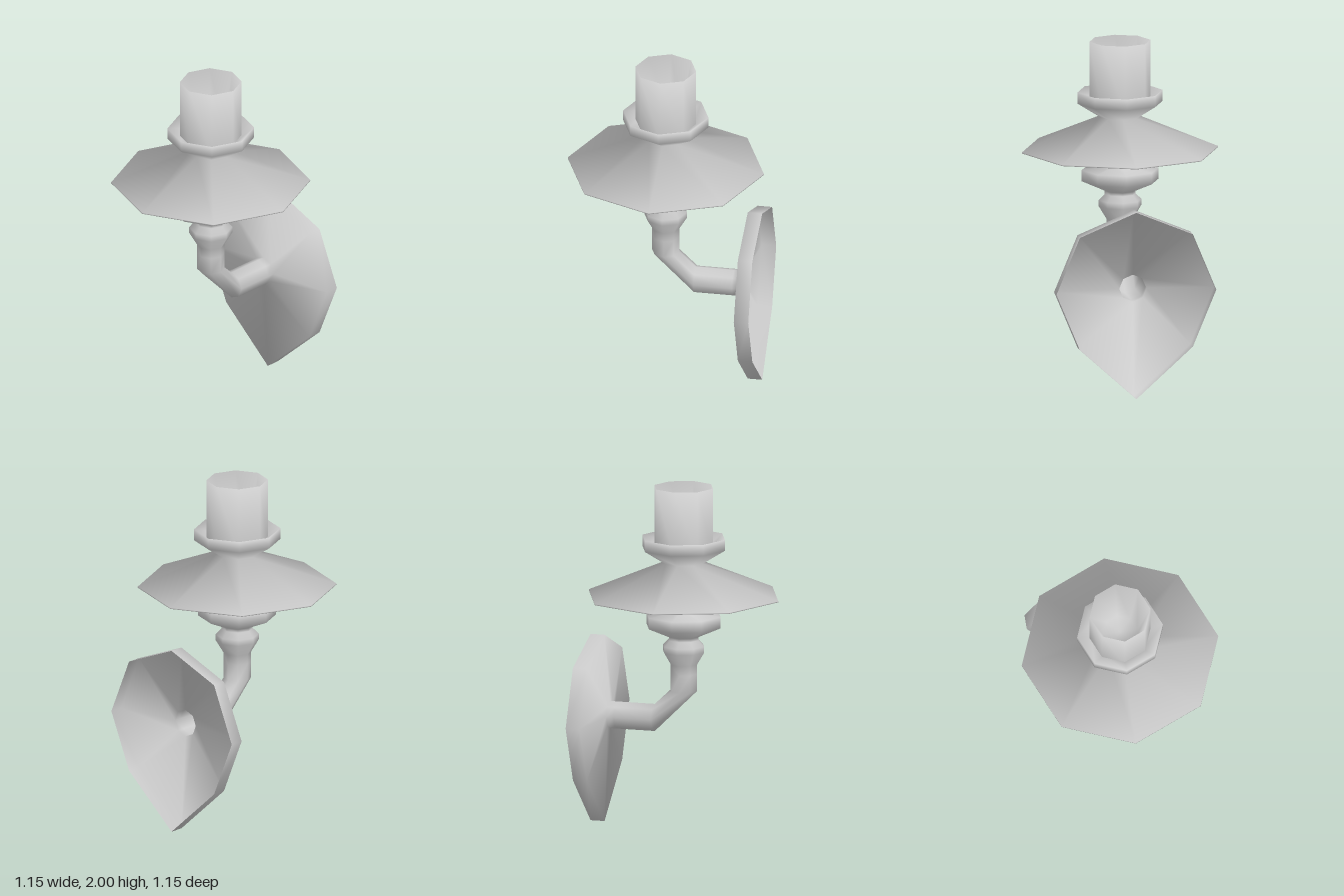
import * as THREE from 'three';

const SIDES = 8;
const material = new THREE.MeshStandardMaterial({ color: 0xcccccc, side: THREE.DoubleSide });

// Smooth shading over every edge: corner normals weighted by the angle of each face
function smooth(g) {
  const p = g.attributes.position, index = g.index;
  const sums = new Map();
  const key = (i) => [p.getX(i), p.getY(i), p.getZ(i)].map((v) => Math.round(v * 1e4)).join();
  for (let t = 0; t < index.count; t += 3) {
    const ids = [0, 1, 2].map((k) => index.getX(t + k));
    const v = ids.map((i) => new THREE.Vector3().fromBufferAttribute(p, i));
    const normal = v[1].clone().sub(v[0]).cross(v[2].clone().sub(v[0]));
    if (normal.length() < 1e-7) continue;
    normal.normalize();
    ids.forEach((id, k) => {
      const angle = v[(k + 1) % 3].clone().sub(v[k]).angleTo(v[(k + 2) % 3].clone().sub(v[k]));
      const sum = sums.get(key(id)) ?? new THREE.Vector3();
      sums.set(key(id), sum.addScaledVector(normal, angle));
    });
  }
  for (let i = 0; i < p.count; i++) {
    const n = sums.get(key(i)).clone().normalize();
    g.attributes.normal.setXYZ(i, n.x, n.y, n.z);
  }
  return g;
}

function part(name, geometry) {
  const mesh = new THREE.Mesh(smooth(geometry), material);
  mesh.name = name;
  return mesh;
}

// Eight-sided turned shape from [radius, height] pairs
function turned(profile) {
  return new THREE.LatheGeometry(profile.map(([r, y]) => new THREE.Vector2(r, y)), SIDES);
}

// Wall plate: hollow shallow cone facing forward, lowest corner drawn down to a point
function wallPlate() {
  const g = turned([[0.468, -0.565], [0.468, -0.48], [0.08, -0.445], [0.08, -0.4]]);
  g.rotateX(Math.PI / 2);
  const p = g.attributes.position;
  for (let i = 0; i < p.count; i++) if (p.getY(i) < -0.45) p.setY(i, -0.63);
  return g.translate(0, 0.63, 0);
}

// Arm: tube whose upper rings lie flat and lower rings stand facing the wall
function bentArm() {
  const g = new THREE.CylinderGeometry(0.08, 0.08, 3, SIDES, 3, true);
  const p = g.attributes.position;
  for (let i = 0; i < p.count; i++) {
    const row = Math.round(1.5 - p.getY(i));
    const x = p.getX(i), z = p.getZ(i);
    if (row < 2) p.setXYZ(i, x, [0.9, 0.8][row], z);
    else p.setXYZ(i, x, 0.63 - z, [-0.175, -0.4][row - 2]);
  }
  return g;
}

export function createModel() {
  const group = new THREE.Group();
  group.name = 'wallSconce';

  group.add(
    part('wallPlate', wallPlate()),
    part('arm', bentArm()),
    // Turned column, from the arm up to the cup
    part('column', turned([
      // collar
      [0.08, 0.9], [0.08, 0.955], [0.125, 1.03], [0.125, 1.065], [0.09, 1.1], [0.09, 1.12],
      // drip dish and thin stem
      [0.225, 1.18], [0.225, 1.245], [0.06, 1.265], [0.06, 1.47],
      // underside, thin rim and top of the shade
      [0.575, 1.355], [0.575, 1.361], [0.118, 1.555],
      // cup with a dished inside
      [0.25, 1.638], [0.25, 1.703], [0.165, 1.645],
    ])),
    // Candle sleeve, hollow with a narrowing bore
    part('candleSleeve', turned([[0.178, 1.6], [0.178, 2], [0.1, 1.68], [0, 1.68]])),
  );
  return group;
}
